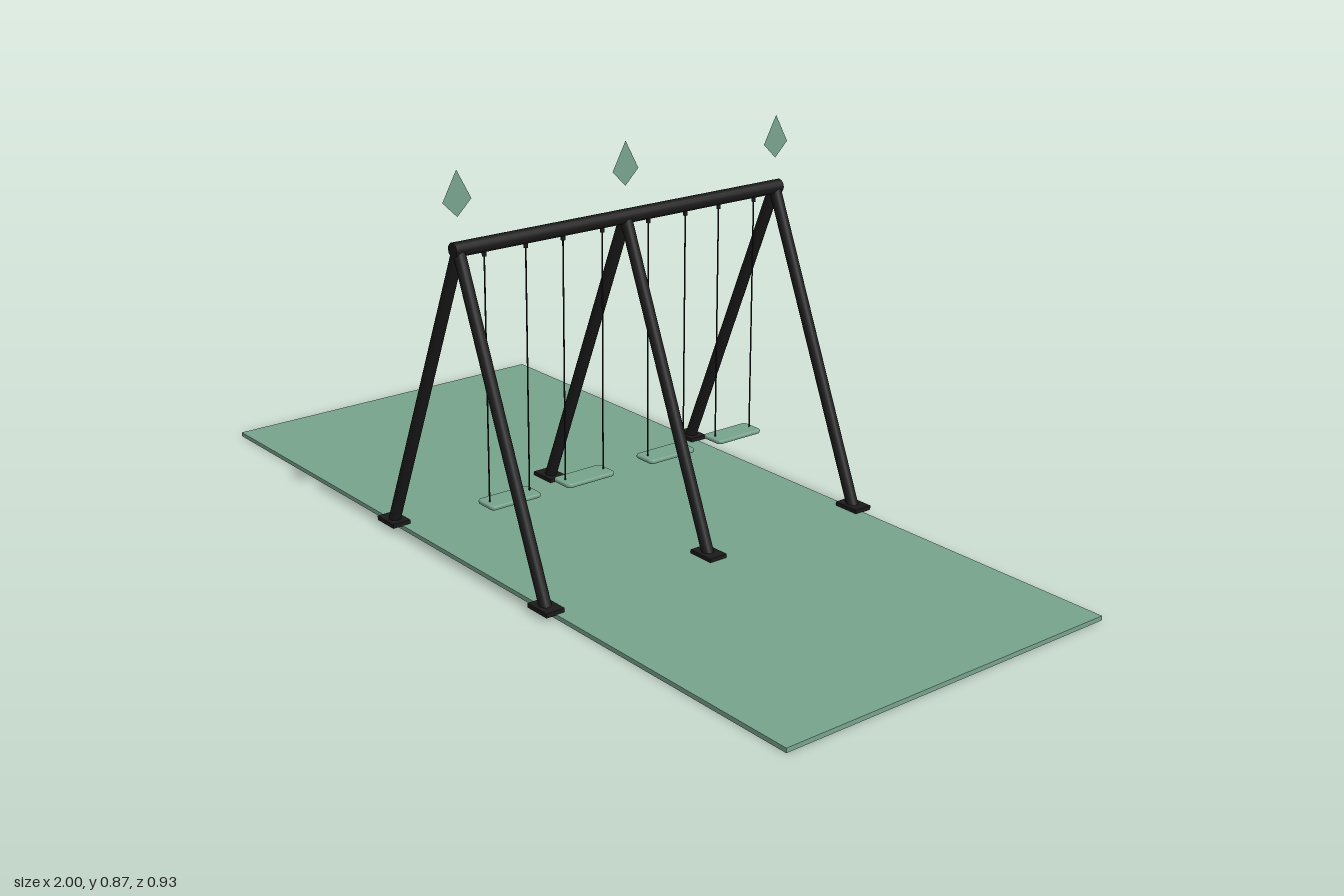
import * as THREE from 'three';

const UP = new THREE.Vector3(0, 1, 0);

export function createModel() {
  const model = new THREE.Group();
  const green = new THREE.MeshStandardMaterial({ name: 'soft green', color: 0x78a38d });
  const greenSheet = new THREE.MeshStandardMaterial({ name: 'soft green sheet', color: 0x78a38d, side: THREE.DoubleSide });
  const black = new THREE.MeshStandardMaterial({ name: 'black steel', color: 0x1a1a1a });

  function add(name, geometry, material, x = 0, y = 0, z = 0, parent = model) {
    const mesh = new THREE.Mesh(geometry, material);
    mesh.name = name;
    mesh.position.set(x, y, z);
    parent.add(mesh);
    return mesh;
  }

  // Round bar between two points
  function bar(name, a, b, radius, sides, parent = model) {
    const dir = b.clone().sub(a);
    const mid = a.clone().add(b).multiplyScalar(0.5);
    const mesh = add(name, new THREE.CylinderGeometry(radius, radius, dir.length(), sides),
      black, mid.x, mid.y, mid.z, parent);
    mesh.quaternion.setFromUnitVectors(UP, dir.normalize());
    return mesh;
  }

  // Ground mat and ridge beam
  add('groundMat', new THREE.BoxGeometry(2, 0.01, 0.856), green, 0, 0.005, 0);
  bar('topBeam', new THREE.Vector3(0, 0.701, -0.444), new THREE.Vector3(0, 0.701, 0.444), 0.016, 16);

  // Kite-shaped marker, lying in the yz plane
  const kite = new THREE.Shape([[0, -0.034], [0.035, 0], [0, 0.064], [-0.035, 0]]
    .map(([x, y]) => new THREE.Vector2(x, y)));
  const kiteGeometry = new THREE.ShapeGeometry(kite).rotateY(Math.PI / 2);

  // Three A-frames with foot pads, each topped by a floating marker
  for (const z of [-0.43, 0, 0.43]) {
    const frame = new THREE.Group();
    frame.name = 'aFrame';
    frame.position.z = z;
    model.add(frame);
    for (const side of [-1, 1]) {
      bar('leg', new THREE.Vector3(side * 0.288, 0.008, 0), new THREE.Vector3(0, 0.7, 0), 0.0135, 16, frame);
      add('footPad', new THREE.BoxGeometry(0.065, 0.01, 0.045), black, side * 0.287, 0.014, 0, frame);
    }
    add('kiteMarker', kiteGeometry, greenSheet, 0, 0.802, 0, frame);
  }

  // Seat outline: rounded rectangle, extruded with a soft edge
  const w = 0.026, l = 0.061, r = 0.008;
  const outline = new THREE.Shape();
  outline.moveTo(-w + r, -l);
  outline.lineTo(w - r, -l);
  outline.quadraticCurveTo(w, -l, w, -l + r);
  outline.lineTo(w, l - r);
  outline.quadraticCurveTo(w, l, w - r, l);
  outline.lineTo(-w + r, l);
  outline.quadraticCurveTo(-w, l, -w, l - r);
  outline.lineTo(-w, -l + r);
  outline.quadraticCurveTo(-w, -l, -w + r, -l);
  const seatGeometry = new THREE.ExtrudeGeometry(outline, {
    depth: 0.002, bevelThickness: 0.004, bevelSize: 0.004, bevelSegments: 3, curveSegments: 5,
  }).translate(0, 0, -0.001).rotateX(-Math.PI / 2);

  // Four swings: seat, two ropes and two hangers each
  for (const z of [-0.315, -0.115, 0.115, 0.315]) {
    const swing = new THREE.Group();
    swing.name = 'swing';
    swing.position.z = z;
    model.add(swing);
    add('seat', seatGeometry, green, 0, 0.13, 0, swing);
    for (const s of [-0.052, 0.052]) {
      bar('rope', new THREE.Vector3(0, 0.13, s), new THREE.Vector3(0, 0.69, s), 0.0017, 8, swing);
      add('hanger', new THREE.CylinderGeometry(0.005, 0.005, 0.014, 12), black, 0, 0.683, s, swing);
    }
  }
  return model;
}
